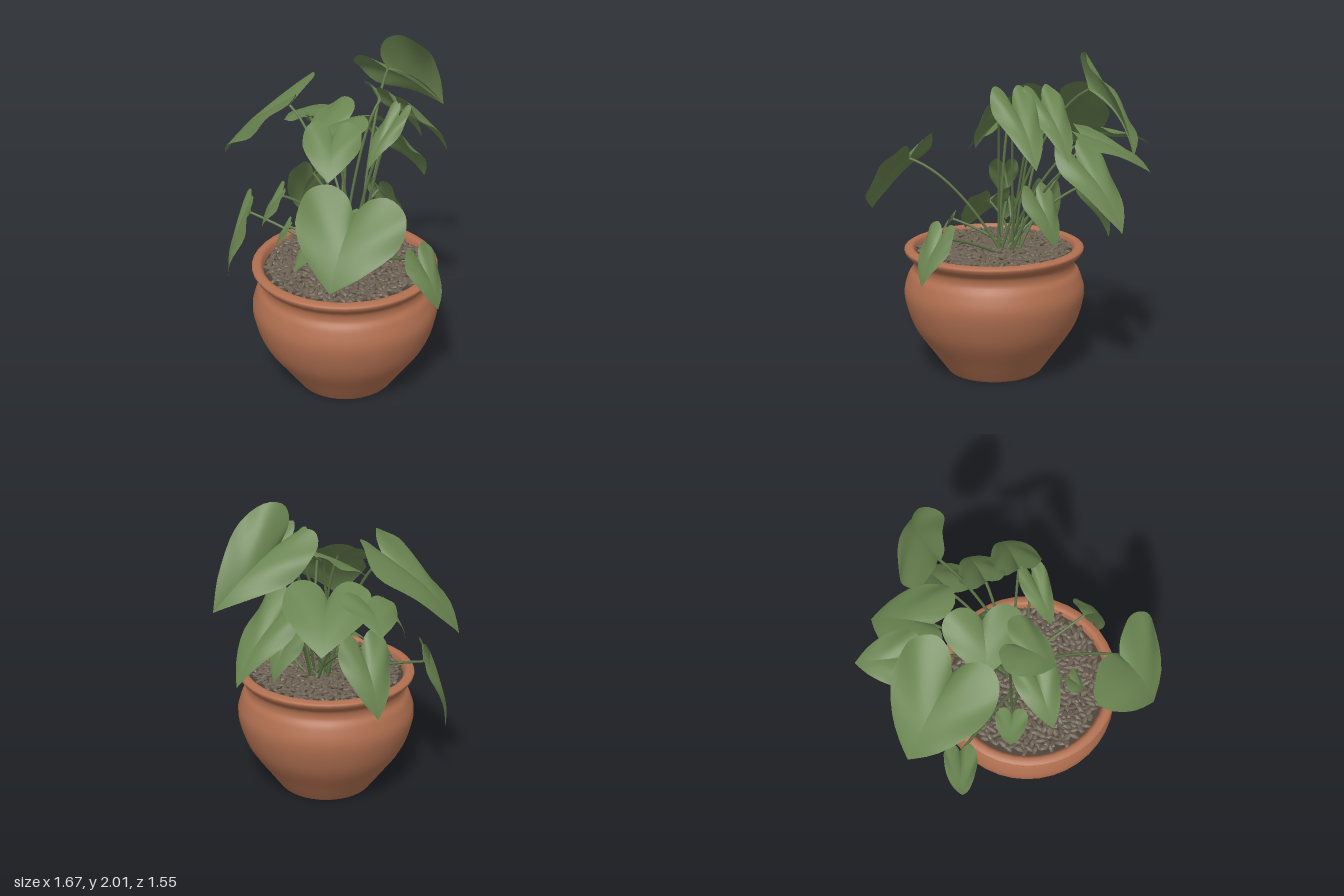
import * as THREE from 'three';
import { mergeGeometries } from 'three/addons/utils/BufferGeometryUtils.js';

const V = (x, y, z) => new THREE.Vector3(x, y, z);
const UP = V(0, 1, 0);
const CROWN = V(0.06, 0.74, 0.14); // where the stems leave the soil

// half of a heart outline: sideways, along the midrib, from notch to tip
const HEART = new THREE.SplineCurve([
  [0, 0], [0.2, -0.2], [0.55, -0.28], [0.88, -0.16], [1, 0.05], [0.92, 0.34], [0.5, 0.72], [0, 1],
].map(([s, v]) => new THREE.Vector2(s, v)));

// arched heart leaf from notch to tip, rolled about its midrib, halves folded upward
function leafGeometry(notch, tip, half, roll, fold) {
  const axis = tip.clone().sub(notch), size = axis.length();
  const along = axis.clone().normalize();
  const level = along.clone().cross(UP).normalize();
  const pos = [], idx = [], N = 22, M = 6;
  for (const sign of [1, -1]) {
    const side = level.clone().applyAxisAngle(along, -roll - sign * fold);
    const normal = side.clone().cross(along);
    const start = pos.length / 3;
    for (let i = 0; i <= N; i++) {
      const k = i / N, edge = HEART.getPoint(k);
      for (let j = 0; j <= M; j++) {
        const t = j / M, s = edge.x * t, v = k + (edge.y - k) * t;
        const ripple = 0.03 * t * t * edge.x * Math.sin(k * 17 + sign);
        const lift = size * (0.4 * k * (1 - k) * (1 - 0.5 * t) + 0.16 * s * (1 - s) + ripple);
        const p = notch.clone().addScaledVector(axis, v)
          .addScaledVector(side, sign * s * half).addScaledVector(normal, lift);
        pos.push(p.x, p.y, p.z);
        if (i < N && j < M) {
          const a = start + i * (M + 1) + j, b = a + M + 1;
          if (sign > 0) idx.push(a, a + 1, b, b, a + 1, b + 1);
          else idx.push(a, b, a + 1, b, b + 1, a + 1);
        }
      }
    }
  }
  const g = new THREE.BufferGeometry();
  g.setAttribute('position', new THREE.Float32BufferAttribute(pos, 3));
  g.setIndex(idx);
  g.computeVertexNormals();
  return g;
}

// large leaves: name, notch, tip, half width, roll, fold
const LARGE = [
  ['tallBackLeaf', V(-0.19, 1.79, -0.33), V(-0.17, 1.47, -0.77), 0.24, 0.75, 0.32],
  ['upperBackLeaf', V(0, 1.7, -0.13), V(0.02, 1.4, -0.43), 0.13],
  ['upperLeftLeaf', V(0.2, 1.7, -0.12), V(0.25, 1.38, -0.44), 0.14],
  ['upperSideLeaf', V(0.25, 1.67, -0.06), V(0.27, 1.42, 0.17), 0.085],
  ['bigRightLeaf', V(-0.39, 1.63, 0.25), V(-0.79, 1.25, 0.48), 0.3, 0.1],
  ['bigLeftLeaf', V(0.55, 1.34, 0.48), V(0.68, 1, 0.74), 0.31, 0.12],
  ['backRightLeaf', V(-0.34, 1.45, -0.12), V(-0.63, 1.26, -0.38), 0.25],
  ['farRightLeaf', V(-0.55, 1.45, 0), V(-0.83, 1.38, -0.13), 0.16, 0.2],
  ['centreLeaf', V(0, 1.55, 0.22), V(0.19, 1.37, 0.39), 0.17],
  ['middleLeaf', V(-0.1, 1.58, 0.03), V(-0.2, 1.45, 0.29), 0.23, 0.15],
  ['lowBackLeaf', V(-0.15, 1.36, -0.28), V(-0.2, 1, -0.65), 0.18],
  ['hangingLeaf', V(-0.48, 0.96, 0.5), V(-0.55, 0.51, 0.64), 0.1],
  ['frontLeaf', V(0.12, 1.06, 0.25), V(0.1, 0.82, 0.58), 0.14],
];

// small leaves hang outward from the crown: name, notch, length
const SMALL = [
  ['lowRightLeaf', V(-0.43, 1.12, 0.06), 0.42],
  ['innerBackLeaf', V(0.02, 1.13, -0.1), 0.33],
  ['frontRightLeaf', V(-0.14, 1.2, 0.49), 0.25],
  ['lowFrontLeaf', V(-0.13, 0.99, 0.45), 0.17],
  ['smallFrontLeaf', V(0.31, 0.95, 0.38), 0.18],
  ['leftLeaf', V(0.58, 0.94, 0.05), 0.32],
];

// pot wall from the foot up over the belly, neck and rim
const WALL = new THREE.SplineCurve([
  [0.3, 0], [0.385, 0.12], [0.505, 0.3], [0.56, 0.49], [0.535, 0.61], [0.502, 0.665], [0.505, 0.715],
  [0.545, 0.755], [0.552, 0.786], [0.5, 0.793], [0.475, 0.72],
].map(([r, y]) => new THREE.Vector2(r, y)));

export function createModel() {
  const mat = (name, color, extra = {}) => {
    const m = new THREE.MeshStandardMaterial({ color, ...extra });
    m.name = name;
    return m;
  };
  const clay = mat('terracotta', 0xb06f50);
  const green = mat('leaf green', 0x6a8451, { side: THREE.DoubleSide });
  const stalk = mat('stem green', 0x5c7345);
  const earth = mat('dark soil', 0x4a4137);
  const stone = mat('bark chips', 0x6a5f51, { flatShading: true });

  const group = (name, parent) => {
    const g = new THREE.Group();
    g.name = name;
    if (parent) parent.add(g);
    return g;
  };
  const add = (name, geo, material, parent) => {
    const m = new THREE.Mesh(geo, material);
    m.name = name;
    parent.add(m);
  };
  const model = group('pottedPlant');

  // pot with a slightly dished underside, and soil
  const pot = group('pot', model);
  pot.position.set(0.11, 0, 0.22);
  const profile = [new THREE.Vector2(0, 0.012), ...WALL.getPoints(50)];
  add('potWall', new THREE.LatheGeometry(profile, 40), clay, pot);
  add('soil', new THREE.CircleGeometry(0.485, 40).rotateX(-Math.PI / 2).translate(0, 0.755, 0), earth, pot);

  // bark chips scattered in a sunflower spiral
  let seed = 7;
  const rnd = () => (seed = (seed * 16807) % 2147483647) / 2147483647;
  const chips = [];
  for (let i = 0; i < 520; i++) {
    const r = 0.465 * Math.sqrt((i + 0.5) / 520), a = i * 2.39996;
    chips.push(new THREE.IcosahedronGeometry(1, 0)
      .scale(0.03 + 0.014 * rnd(), 0.014, 0.015 + 0.007 * rnd())
      .rotateZ((rnd() - 0.5) * 0.8).rotateY(rnd() * 6.28)
      .translate(r * Math.cos(a), 0.768 + 0.015 * rnd(), r * Math.sin(a)));
  }
  add('barkChips', mergeGeometries(chips), stone, pot);

  // each leaf sits on an arching stem from the crown
  let count = 0;
  const addLeaf = (name, notch, tip, half, roll = 0, fold = 0) => {
    const leaf = group(name, model);
    add('blade', leafGeometry(notch, tip, half, roll, fold), green, leaf);
    const angle = 2.4 * count++;
    const root = V(0.06 * Math.cos(angle), 0, 0.06 * Math.sin(angle)).add(CROWN);
    const bend = root.clone().lerp(notch, 0.5).setY(notch.y * 0.93);
    const path = new THREE.QuadraticBezierCurve3(root, bend, notch);
    add('stem', new THREE.TubeGeometry(path, 18, 0.0085, 6), stalk, leaf);
  };
  LARGE.forEach((leaf) => addLeaf(...leaf));
  SMALL.forEach(([name, notch, length]) => {
    const out = notch.clone().sub(CROWN).setY(0).normalize();
    const tip = notch.clone().addScaledVector(out, 0.5 * length).addScaledVector(UP, -0.83 * length);
    addLeaf(name, notch, tip, 0.38 * length);
  });
  return model;
}
